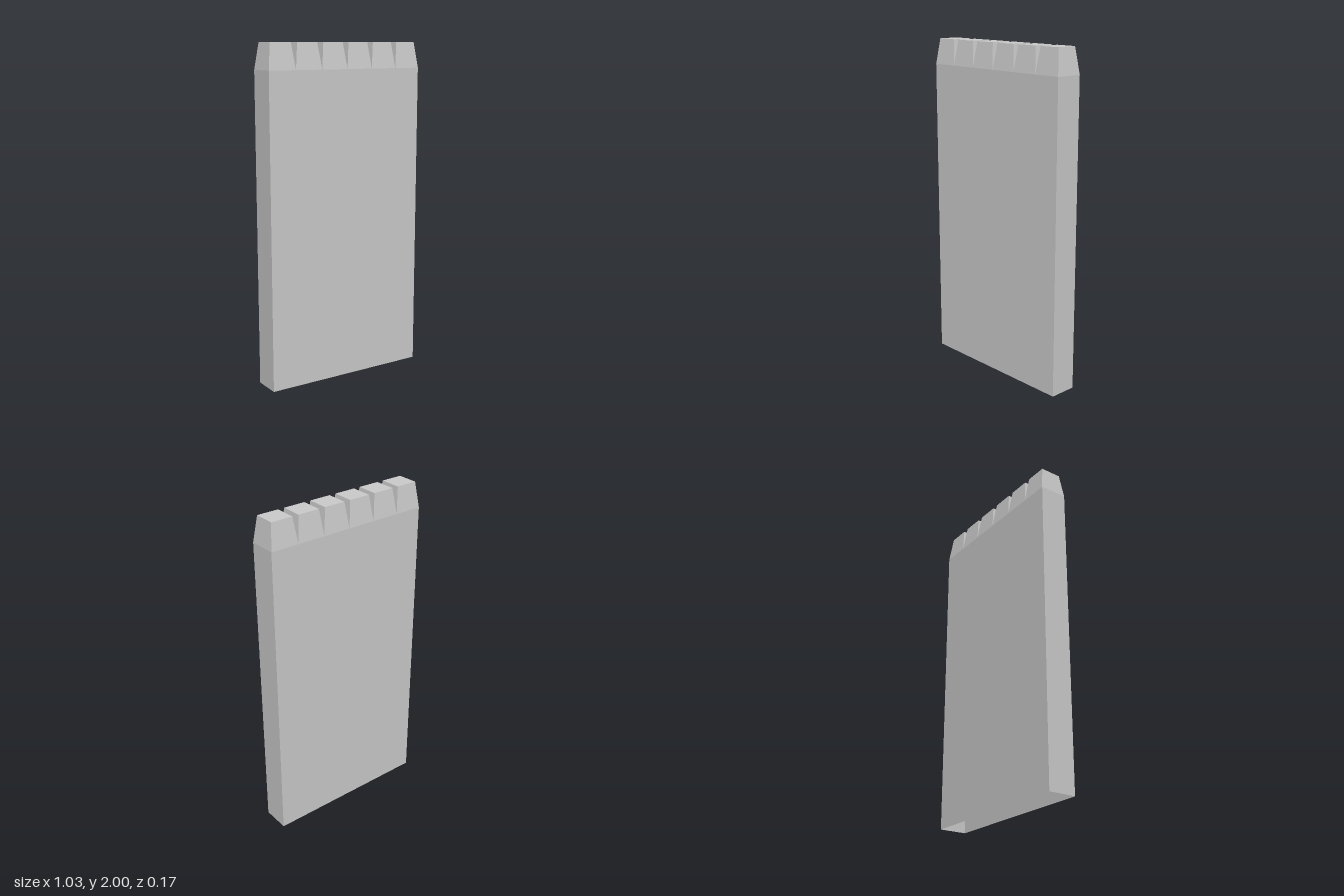
import * as THREE from 'three';

const WIDTH = 1.026, DEPTH = 0.168, HEIGHT = 2;
const SHOULDER = 1.848; // height where the pointed tops begin
const COUNT = 6, INSET = 0.02;

// Box standing on y = 0, keeping only the listed faces (0 +x, 1 -x, 2 +y, 3 -y, 4 +z, 5 -z),
// its top drawn in by the inset on every side.
function taperedBox(w, h, d, inset, faces) {
  const box = new THREE.BoxGeometry(w, h, d).translate(0, h / 2, 0);
  const pos = box.attributes.position;
  for (let i = 0; i < pos.count; i++) {
    if (pos.getY(i) < h / 2) continue;
    pos.setX(i, pos.getX(i) - Math.sign(pos.getX(i)) * inset);
    pos.setZ(i, pos.getZ(i) - Math.sign(pos.getZ(i)) * inset);
  }
  const index = Array.from(box.index.array);
  box.setIndex(faces.flatMap((f) => index.slice(f * 6, f * 6 + 6)));
  box.clearGroups();
  box.computeVertexNormals();
  return box;
}

export function createModel() {
  const group = new THREE.Group();
  group.name = 'fencePanel';
  const material = new THREE.MeshStandardMaterial({
    color: 0xcccccc, flatShading: true, side: THREE.DoubleSide,
  });

  // Hollow slab: four walls, open underneath
  const panel = new THREE.Mesh(taperedBox(WIDTH, SHOULDER, DEPTH, 0, [0, 1, 4, 5]), material);
  panel.name = 'panel';
  group.add(panel);

  // Row of tapered picket tops, leaving V notches between them
  const pitch = WIDTH / COUNT;
  const topGeometry = taperedBox(pitch, HEIGHT - SHOULDER, DEPTH, INSET, [0, 1, 2, 4, 5]);
  for (let i = 0; i < COUNT; i++) {
    const top = new THREE.Mesh(topGeometry, material);
    top.name = `picketTop${i + 1}`;
    top.position.set((i - (COUNT - 1) / 2) * pitch, SHOULDER, 0);
    group.add(top);
  }
  return group;
}
